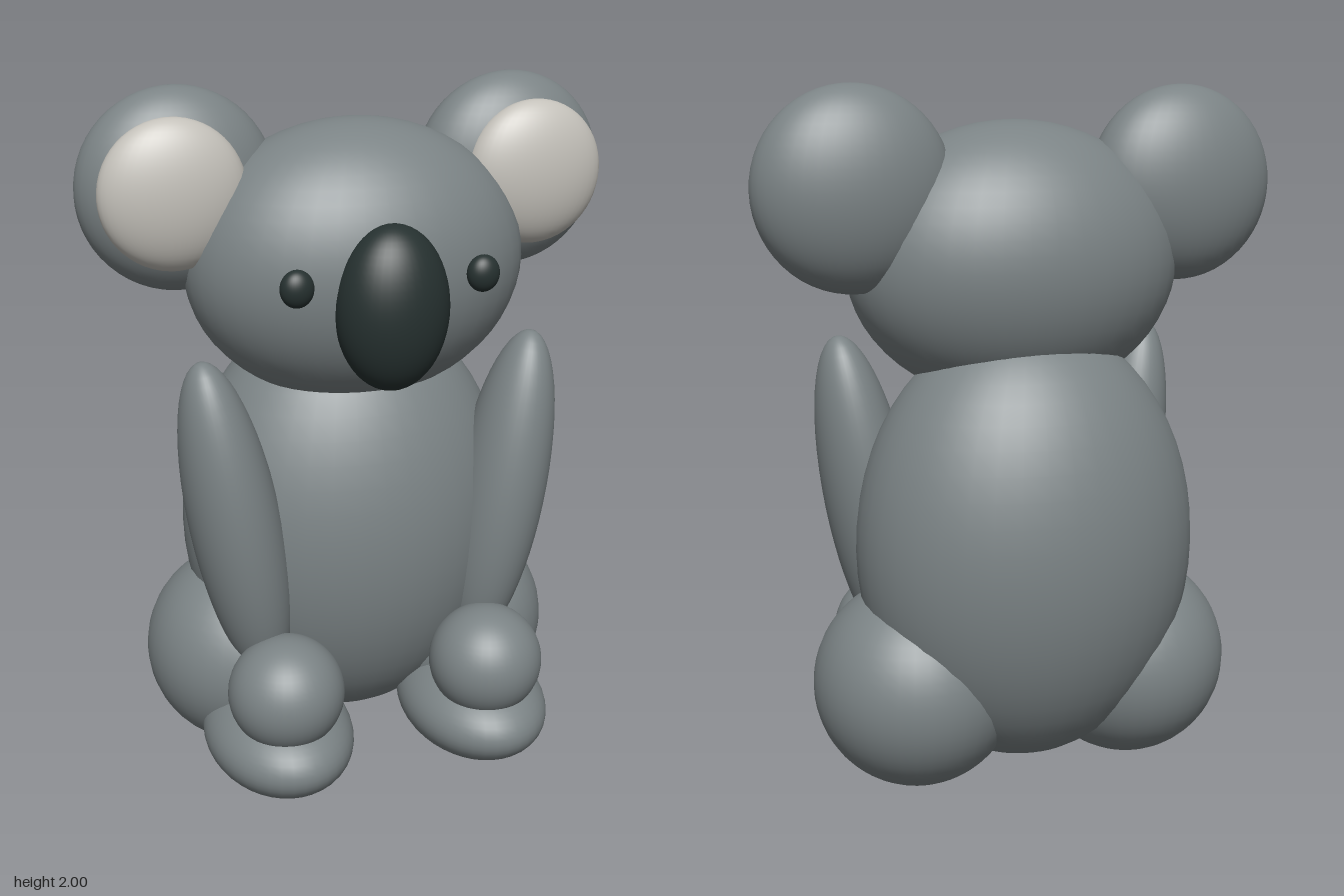
import * as THREE from 'three';

export function createModel() {
  const model = new THREE.Group();
  model.name = 'koala';

  const material = (name, color) => {
    const m = new THREE.MeshStandardMaterial({ color });
    m.name = name;
    return m;
  };
  const fur = material('greyFur', 0x7b8385);
  const earFur = material('paleEarFur', 0xc4c1ba);
  const dark = material('darkNose', 0x263130);

  const ball = new THREE.SphereGeometry(1, 40, 28);

  // Every part is an ellipsoid: centre, radii, optional tilt about z
  const blob = (name, mat, centre, radii, tilt = 0) => {
    const mesh = new THREE.Mesh(ball, mat);
    mesh.name = name;
    mesh.position.set(...centre);
    mesh.scale.set(...radii);
    mesh.rotation.z = tilt;
    model.add(mesh);
  };

  // Mirrored parts; s = 1 is the model's left
  const pair = (name, mat, [x, y, z], radii, tilt = 0) => {
    for (const s of [1, -1]) {
      blob((s > 0 ? 'left' : 'right') + name, mat, [s * x, y, z], radii, s * tilt);
    }
  };

  // Trunk and head
  blob('body', fur, [0, 0.7, -0.1], [0.5, 0.65, 0.4]);
  blob('head', fur, [0, 1.505, -0.005], [0.49, 0.398, 0.34]);

  // Face
  blob('nose', dark, [0, 1.447, 0.315], [0.157, 0.227, 0.125]);
  pair('Eye', dark, [0.26, 1.52, 0.31], [0.046, 0.051, 0.035]);

  // Ears with pale inner pads
  pair('Ear', fur, [0.487, 1.72, -0.075], [0.279, 0.28, 0.156]);
  pair('InnerEar', earFur, [0.52, 1.728, 0.04], [0.203, 0.205, 0.088]);

  // Arms lean outward towards the shoulder
  pair('Arm', fur, [0.403, 0.8, 0.147], [0.13, 0.5, 0.153], -0.17);
  pair('Hand', fur, [0.307, 0.335, 0.305], [0.167, 0.165, 0.167]);

  // Haunches and feet
  pair('Thigh', fur, [0.332, 0.303, -0.08], [0.299, 0.303, 0.305]);
  pair('Foot', fur, [0.307, 0.15, 0.2], [0.216, 0.142, 0.3]);

  return model;
}
